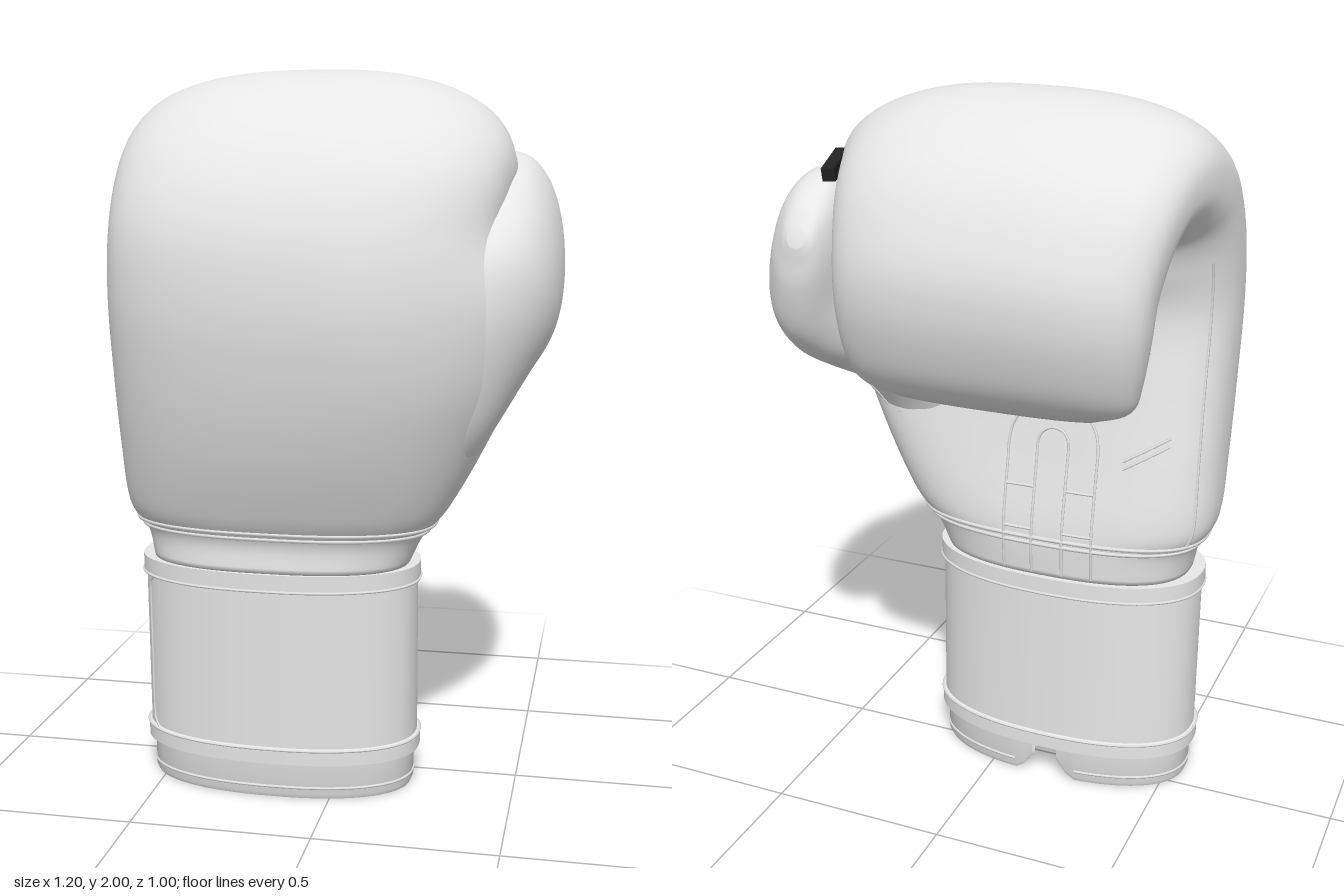
import * as THREE from 'three';
import { toCreasedNormals } from 'three/addons/utils/BufferGeometryUtils.js';

const V = (x, y, z) => new THREE.Vector3(x, y, z);
const signedPow = (v, p) => Math.sign(v) * Math.abs(v) ** p;

// Surface from a grid of points; columns wrap round when closed
function grid(point, rows, cols, closed) {
  const pos = [], index = [], n = closed ? cols : cols + 1;
  for (let i = 0; i <= rows; i++)
    for (let j = 0; j < n; j++) pos.push(...point(i, j).toArray());
  for (let i = 0; i < rows; i++)
    for (let j = 0; j < cols; j++) {
      const a = i * n + j, b = i * n + (j + 1) % n;
      index.push(a, a + n, b, b, a + n, b + n);
    }
  const g = new THREE.BufferGeometry();
  g.setAttribute('position', new THREE.Float32BufferAttribute(pos, 3));
  g.setIndex(index);
  g.computeVertexNormals();
  return g;
}

// Padded shape; each row: outer z, outer y, inner z, inner y, min x, max x,
// dip of the inner face, taper of the outer right corner
function padded(rows, n) {
  const curve = f => new THREE.CatmullRomCurve3(rows.map(f), false, 'catmullrom', 0.5);
  const outer = curve(r => V(0, r[1], r[0]));
  const inner = curve(r => V(0, r[3], r[2]));
  const width = curve(r => V(r[4], r[5], 0));
  const detail = curve(r => V(r[6] || 0, r[7] || 0, 0));
  const at = (t, a, shrink = 1) => {
    const o = outer.getPoint(t), i = inner.getPoint(t), w = width.getPoint(t), d = detail.getPoint(t);
    const u = signedPow(Math.cos(a), 2 / n) * shrink;
    let v = signedPow(Math.sin(a), 2 / n) * shrink;
    if (v < 0) v *= 1 - d.x * (1 - u * u);
    const p = o.clone().add(i).multiplyScalar(0.5).addScaledVector(o.sub(i), v / 2);
    p.x = (w.x + w.y) / 2 + u * (w.y - w.x) / 2 - d.y * Math.max(0, u) * ((v + 1) / 2) ** 2;
    return p;
  };
  const steps = (rows.length - 1) * 6, cols = 72;
  const geometry = () => grid((i, j) => {
    const k = Math.min(Math.max(i - 1, 0), steps);
    return at(k / steps, j / cols * Math.PI * 2, i === 0 || i === steps + 2 ? 0 : 1);
  }, steps + 2, cols, true);
  return { at, width, geometry, last: rows.length - 1 };
}

const mitt = padded([
  [.30, .66, -.11, .66, -.53, .20],
  [.30, .74, -.115, .74, -.55, .24],
  [.345, .82, -.135, .82, -.595, .315, .1, .03],
  [.42, 1.0, -.13, 1.0, -.6, .43, .2, .12],
  [.475, 1.2, -.10, 1.2, -.6, .53, .2, .2],
  [.5, 1.4, -.06, 1.4, -.6, .56, .1, .24],
  [.475, 1.6, -.07, 1.52, -.6, .475, 0, .12],
  [.38, 1.78, -.09, 1.58, -.6, .475, 0, .08],
  [.22, 1.92, -.115, 1.6, -.6, .49, 0, .1],
  [0, 2.0, -.13, 1.605, -.59, .47, 0, .1],
  [-.2, 1.96, -.15, 1.6, -.57, .41, 0, .05],
  [-.38, 1.83, -.17, 1.57, -.55, .355],
  [-.48, 1.65, -.19, 1.5, -.53, .33],
  [-.495, 1.5, -.205, 1.42, -.52, .32],
  [-.455, 1.35, -.215, 1.34, -.5, .31],
  [-.40, 1.265, -.23, 1.265, -.47, .28],
  [-.335, 1.22, -.27, 1.23, -.38, .2],
], 2.5);

const thumb = padded([
  [.20, .81, -.06, .81, -.1, .26],
  [.30, 1.0, -.03, 1.0, 0, .40],
  [.34, 1.22, -.085, 1.14, .05, .505],
  [.345, 1.42, -.14, 1.19, .1, .57],
  [.28, 1.57, -.21, 1.235, .2, .595],
  [.10, 1.71, -.30, 1.295, .27, .595],
  [-.10, 1.775, -.37, 1.38, .32, .57],
  [-.25, 1.775, -.41, 1.5, .335, .515],
  [-.35, 1.725, -.417, 1.58, .355, .465],
  [-.40, 1.665, -.419, 1.62, .38, .43],
], 2.2);

// Oval ring of the wrist, leaning slightly forward towards the top
function wrist(y, a, off = 0) {
  const p = 2 / 2.3, h = .205 + .006 * y / .66 + off;
  return V(-.17 + (.39 + off) * signedPow(Math.cos(a), p), y,
    .08 + .012 * y / .66 + h * signedPow(Math.sin(a), p));
}

// Point on the palm at a given x and y
function palm(x, y, lift = .002) {
  let lo = 0, hi = 6 / mitt.last;
  for (let k = 0; k < 24; k++) {
    const mid = (lo + hi) / 2;
    if (mitt.at(mid, -Math.PI / 2).y < y) lo = mid; else hi = mid;
  }
  const w = mitt.width.getPoint(lo);
  const u = THREE.MathUtils.clamp((2 * x - w.x - w.y) / (w.y - w.x), -1, 1);
  const p = mitt.at(lo, -Math.acos(signedPow(u, 1.25)));
  p.z -= lift;
  return p;
}

export function createModel() {
  const group = new THREE.Group();
  const mat = (name, color) => {
    const m = new THREE.MeshStandardMaterial({ color, side: THREE.DoubleSide });
    m.name = name;
    return m;
  };
  const leather = mat('white leather', 0xe8e8e8);
  const dark = mat('dark tag', 0x222222);
  const add = (name, geometry, material = leather) => {
    const m = new THREE.Mesh(geometry, material);
    m.name = name;
    group.add(m);
    return m;
  };
  const seam = (name, pts, closed = false, r = .004) => add(name, new THREE.TubeGeometry(
    new THREE.CatmullRomCurve3(pts, closed), pts.length * 4, r, 5, closed));
  const sample = (n, f) => Array.from({ length: n + 1 }, (_, i) => f(i / n));
  const ring = f => sample(47, s => f(s * 47 / 48 * Math.PI * 2));

  add('mitt', mitt.geometry());
  add('thumb', thumb.geometry());

  // Wrist strap with raised bands
  const strap = [[.11, -.03], [.11, .008], [.155, .008], [.157, 0], [.608, 0],
    [.61, .008], [.66, .008], [.66, -.06]];
  add('wristStrap', toCreasedNormals(grid((i, j) =>
    wrist(strap[i][0], j / 72 * Math.PI * 2, strap[i][1]), strap.length - 1, 72, true), .6));

  // Inner sleeve, open below and slit at the back
  const sleeve = [[.64, -.04], [.02, -.03], [.002, -.025], [.002, -.016], [.015, -.01], [.2, -.01]];
  add('sleeve', toCreasedNormals(grid((i, j) => {
    const s = j / 96, edge = Math.min(s, 1 - s) * Math.PI * 2;
    const a = -Math.PI / 2 + .07 + s * (Math.PI * 2 - .14);
    const lift = .06 * Math.max(0, 1 - edge / .15) ** 2;
    const [y, off] = sleeve[i];
    return wrist(y < .1 ? y + lift : y, a, off);
  }, sleeve.length - 1, 96, false), .7));

  // Stitching round the strap, sleeve and neck
  for (const [y, off] of [[.612, .008], [.153, .008]])
    seam('strapStitch', ring(a => wrist(y, a, off)), true);
  seam('sleeveStitch', sample(60, s =>
    wrist(.035, -Math.PI / 2 + .2 + s * (Math.PI * 2 - .4), -.01)));
  for (const t of [1.25, 1.52])
    seam('neckStitch', ring(a => mitt.at(t / mitt.last, a)), true, .006);
  // Free end of the strap
  const end = Math.PI - .45;
  seam('strapEnd', [[.61, -.12], [.595, -.03], [.56, 0], [.38, 0], [.2, 0], [.17, -.03], [.155, -.12]]
    .map(([y, d]) => wrist(y, end + d, .001)));

  // Stitched surround of the palm opening
  for (const [w, top] of [[.045, 1.09], [.13, 1.17]])
    seam('palmStitch', [
      ...sample(8, s => palm(-.17 - w, .67 + s * (top - w - .67))),
      ...sample(8, s => palm(-.17 - w * Math.cos(s * Math.PI), top - w + w * Math.sin(s * Math.PI))).slice(1, -1),
      ...sample(8, s => palm(-.17 + w, top - w - s * (top - w - .67)))]);
  for (const side of [-1, 1])
    for (const y of [.8, .92])
      seam('palmTick', sample(3, s => palm(-.17 + side * (.045 + .085 * s), y)));
  for (const d of [0, .022]) {
    seam('palmAccent', sample(4, s => palm(-.37 - .12 * s, 1.0 + d + .07 * s)));
    seam('gripStitch', sample(8, s => palm(-.42 + .5 * s, 1.32 + d)));
  }
  // Edge seams of palm and thumb
  seam('palmEdge', sample(16, s => mitt.at((1.6 + s * 4.6) / mitt.last, -2.7)));
  seam('thumbEdge', sample(16, s => thumb.at((.1 + s * 3.4) / thumb.last, -1.0)));

  // Air holes
  const hole = p => add('airHole', new THREE.SphereGeometry(.007, 8, 6)).position.copy(p);
  for (const x of [-.25, -.17, -.09]) hole(palm(x, 1.24, 0));
  for (const t of [1.4, 2.1]) hole(thumb.at(t / thumb.last, -1.25));

  // Tag joining thumb and mitt
  const tag = add('thumbTag', new THREE.BoxGeometry(.035, .035, .145), dark);
  tag.position.set(.388, 1.798, -.22);
  tag.rotation.set(-.2, .22, 0);
  return group;
}
